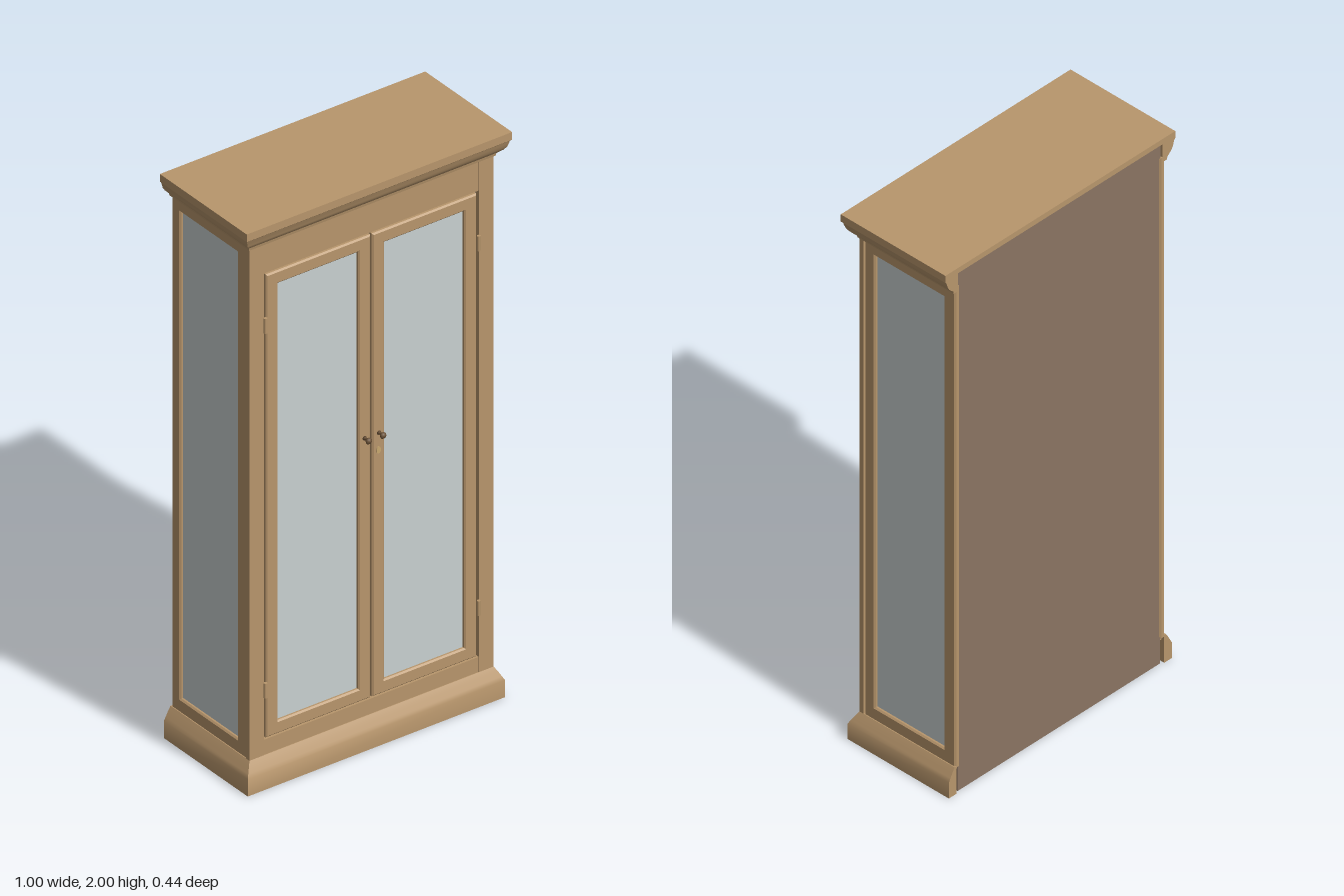
import * as THREE from 'three';
import { toCreasedNormals } from 'three/addons/utils/BufferGeometryUtils.js';

const mat = (color) => new THREE.MeshStandardMaterial({ color });
const wood = mat(0xb8966c), backWood = mat(0x8a7462), glass = mat(0xc9d1d1);
const metal = mat(0x6b5238), brass = mat(0xc8a870);

const BACK = -0.22, HALF = 0.46, FRONT = 0.18;

function add(parent, name, geometry, material, x = 0, y = 0, z = 0) {
  const mesh = new THREE.Mesh(geometry, material);
  mesh.name = name;
  mesh.position.set(x, y, z);
  parent.add(mesh);
  return mesh;
}

// Box given by its extents
function box(parent, name, material, x0, x1, y0, y1, z0, z1) {
  return add(parent, name, new THREE.BoxGeometry(x1 - x0, y1 - y0, z1 - z0), material,
    (x0 + x1) / 2, (y0 + y1) / 2, (z0 + z1) / 2);
}

// Mitred moulding around left, front and right; profile is [outward offset, y], counter-clockwise
function moulding(profile) {
  const rings = profile.map(([o, y]) => [
    [-HALF - o, y, BACK], [-HALF - o, y, FRONT + o], [HALF + o, y, FRONT + o], [HALF + o, y, BACK],
  ]);
  const pos = [], n = profile.length;
  for (let i = 0; i < 3; i++) {
    for (let j = 0; j < n; j++) {
      const p = rings[j], q = rings[(j + 1) % n];
      pos.push(...p[i], ...p[i + 1], ...q[i + 1], ...p[i], ...q[i + 1], ...q[i]);
    }
  }
  const contour = profile.map(([o, y]) => new THREE.Vector2(o, y));
  for (const [a, b, c] of THREE.ShapeUtils.triangulateShape(contour, [])) {
    pos.push(...rings[a][0], ...rings[b][0], ...rings[c][0]);
    pos.push(...rings[c][3], ...rings[b][3], ...rings[a][3]);
  }
  const g = new THREE.BufferGeometry();
  g.setAttribute('position', new THREE.Float32BufferAttribute(pos, 3));
  return toCreasedNormals(g, 0.6);
}

function rect(Type, x0, x1, y0, y1) {
  return new Type([[x0, y0], [x1, y0], [x1, y1], [x0, y1]].map(([x, y]) => new THREE.Vector2(x, y)));
}

// Chamfered frame with a recessed pane; front face at z = 0
function glazedFrame(name, w, h, border, depth) {
  const group = new THREE.Group();
  group.name = name;
  const [l, r, b, t] = border;
  const shape = rect(THREE.Shape, -w / 2, w / 2, 0, h);
  shape.holes.push(rect(THREE.Path, -w / 2 + l, w / 2 - r, b, h - t));
  const c = 0.005;
  const g = new THREE.ExtrudeGeometry(shape, {
    depth: depth - 2 * c, bevelEnabled: true, bevelSize: c, bevelThickness: c, bevelOffset: -c, bevelSegments: 1,
  });
  add(group, 'frame', g, wood, 0, 0, c - depth);
  box(group, 'pane', glass, -w / 2 + l - 0.003, w / 2 - r + 0.003, b - 0.003, h - t + 0.003, -0.015, -0.011);
  return group;
}

export function createModel() {
  const cabinet = new THREE.Group();
  cabinet.name = 'displayCabinet';

  // Plinth and cornice
  add(cabinet, 'plinth', moulding([
    [-0.008, 0], [0.025, 0], [0.025, 0.06], [0.018, 0.073], [0.008, 0.092], [0, 0.105], [-0.008, 0.105],
  ]), wood);
  add(cabinet, 'cornice', moulding([
    [-0.015, 1.912], [0.004, 1.912], [0.006, 1.922], [0.013, 1.928], [0.022, 1.936], [0.029, 1.947],
    [0.033, 1.96], [0.035, 1.968], [0.04, 1.973], [0.04, 2], [-0.015, 2],
  ]), wood);
  box(cabinet, 'top', wood, -0.446, 0.446, 1.98, 2, BACK, 0.166);
  box(cabinet, 'floor', wood, -0.45, 0.45, 0.085, 0.105, -0.21, 0.172);

  // Back boards
  box(cabinet, 'backPanel', backWood, -0.44, 0.44, 0.095, 1.98, -0.215, -0.205);
  box(cabinet, 'backSkirt', backWood, -0.44, 0.44, 0, 0.095, -0.213, -0.203);

  // Front rails
  box(cabinet, 'topRail', wood, -0.405, 0.405, 1.807, 1.93, 0.16, 0.178);
  box(cabinet, 'bottomRail', wood, -0.405, 0.405, 0.1, 0.158, 0.16, 0.178);

  const knobProfile = [[0, 0], [0.008, 0], [0.005, 0.006], [0.004, 0.012], [0.009, 0.018],
    [0.011, 0.023], [0.008, 0.028], [0, 0.03]].map(([x, y]) => new THREE.Vector2(x, y));
  const knobGeometry = new THREE.LatheGeometry(knobProfile, 20);

  for (const s of [-1, 1]) {
    const side = s > 0 ? 'left' : 'right';
    const stile = box(cabinet, side + 'Stile', wood, 0.405, HALF, 0.1, 1.93, 0.163, FRONT);
    stile.position.x *= s;

    // Glazed side
    const panel = glazedFrame(side + 'Side', 0.383, 1.83, [0.045, 0.05, 0.05, 0.06], 0.022);
    if (s > 0) panel.children.forEach((m) => { m.position.x += 0; });
    panel.position.set(s * 0.457, 0.1, -0.0285);
    panel.rotation.y = s * Math.PI / 2;
    cabinet.add(panel);

    // Door with knob and hinges
    const door = glazedFrame(side + 'Door', 0.394, 1.637, [0.046, 0.046, 0.046, 0.046], 0.022);
    door.position.set(s * 0.2, 0.163, 0.181);
    cabinet.add(door);
    add(cabinet, side + 'Knob', knobGeometry, metal, s * 0.027, 1.09, 0.18).rotation.x = Math.PI / 2;
    for (const y of [0.335, 1.625]) {
      add(cabinet, side + 'Hinge', new THREE.CylinderGeometry(0.006, 0.006, 0.052, 14), wood, s * 0.402, y, 0.183);
    }
  }

  // Keyhole plate
  const plate = add(cabinet, 'keyholePlate', new THREE.CylinderGeometry(0.008, 0.008, 0.003, 20), brass, 0.025, 1.03, 0.182);
  plate.rotation.x = Math.PI / 2;
  plate.scale.z = 1.5;

  return cabinet;
}
